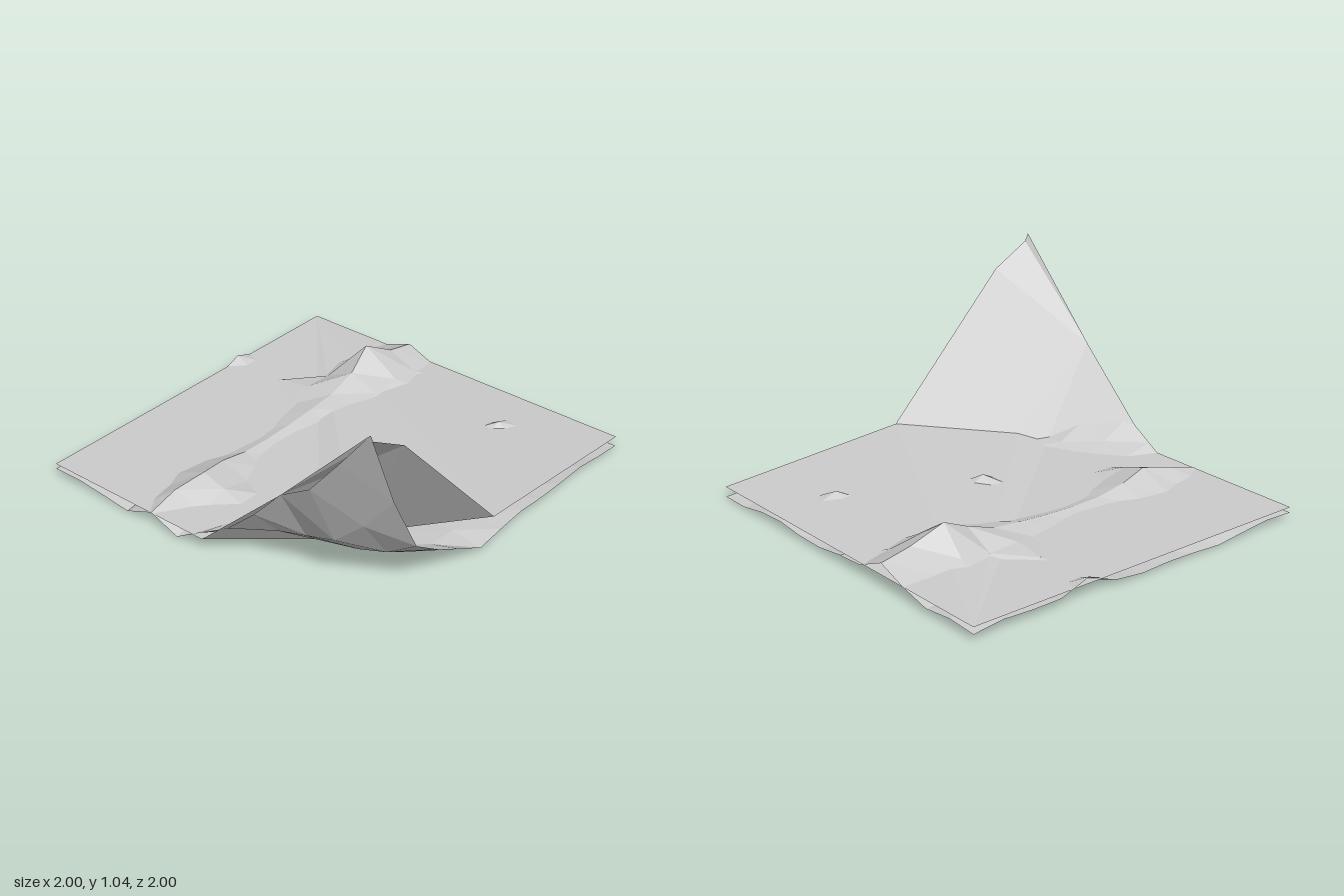
import * as THREE from 'three';

const CELLS = 12;
const material = new THREE.MeshStandardMaterial({ color: 0xcccccc, flatShading: true, side: THREE.DoubleSide });

// Heights of raised grid rows: [row, first column, heights...], row 0 at the back, column 0 at x = -1
const RAISED = [
  [0, 3, 0.06, 0.12, 0.05],
  [1, 3, 0.08, 0.155, 0.08],
  [2, 3, 0.1, 0.24, 0.11],
  [3, 3, 0.08, 0.16, 0.1],
  [4, 2, 0.07, 0.09, 0.105, 0.075],
  [5, 4, 0.09, 0.04], [6, 4, 0.08, 0.03], [7, 4, 0.075, 0.03],
  [8, 4, 0.08, 0.04],
  [9, 3, 0.04, 0.11, 0.06],
  [10, 3, 0.05, 0.14, 0.1],
  [11, 3, 0.02, 0.11, 0.04],
  [12, 3, 0.0, 0.065, 0.0],
  // small peaks that break through the sheet
  [2, 9, 0.11], [6, 7, 0.13], [4, 0, 0.095],
  // lifted corner
  [8, 11, 0.05, 0.1],
  [9, 9, 0.05, 0.06, 0.1, 0.19],
  [10, 7, 0.05, 0.085, 0.09, 0.13, 0.19, 0.3],
  [11, 6, 0.06, 0.1, 0.17, 0.22, 0.27, 0.42, 0.62],
  [12, 6, 0.1, 0.2, 0.35, 0.53, 0.63, 0.83, 1.04],
];

// Low rolling ground between the raised points
function rolling(col, row) {
  return 0.026 + 0.017 * Math.sin(col * 1.5 + row * 0.6) + 0.009 * Math.sin(row * 1.9 - col * 0.7);
}

function createTerrain() {
  const geometry = new THREE.PlaneGeometry(2, 2, CELLS, CELLS).rotateX(-Math.PI / 2);
  const pos = geometry.attributes.position;
  const index = (row, col) => row * (CELLS + 1) + col;
  for (let row = 0; row <= CELLS; row++) {
    for (let col = 0; col <= CELLS; col++) pos.setY(index(row, col), rolling(col, row));
  }
  for (const [row, first, ...heights] of RAISED) {
    heights.forEach((h, i) => pos.setY(index(row, first + i), h));
  }
  // lean the two summits off the regular grid
  pos.setX(index(2, 4), -0.37);
  pos.setX(index(10, 4), -0.3);
  geometry.computeVertexNormals();
  const mesh = new THREE.Mesh(geometry, material);
  mesh.name = 'terrain';
  return mesh;
}

// Coarse sheet: nearly level, folding up steeply to the front left corner
function createSheet() {
  const points = [
    [-1, 0.062, -1], [-1, 0.062, 1], [0, 0.062, 1], [0.42, 0.065, 0.65],
    [0.55, 0.1, 0.55], [1, 0.14, 0.07], [1, 0.06, -1],
    [1, 0.88, 0.77], [1, 1.0, 0.98], [1, 1.04, 1], [0.5, 0.53, 1],
  ];
  const level = [0, 1, 2, 0, 2, 3, 0, 3, 4, 0, 4, 5, 0, 5, 6];
  const slope = [5, 4, 7, 4, 10, 7, 7, 10, 8, 8, 10, 9, 4, 3, 10, 3, 2, 10];
  const geometry = new THREE.BufferGeometry();
  geometry.setAttribute('position', new THREE.Float32BufferAttribute(points.flat(), 3));
  geometry.setIndex([...level, ...slope]);
  geometry.computeVertexNormals();
  const mesh = new THREE.Mesh(geometry, material);
  mesh.name = 'coverSheet';
  return mesh;
}

export function createModel() {
  const group = new THREE.Group();
  group.name = 'landscapePatch';
  group.add(createTerrain(), createSheet());
  // rest the lowest ground point on y = 0
  const box = new THREE.Box3().setFromObject(group);
  group.children.forEach((part) => { part.position.y -= box.min.y; });
  return group;
}
